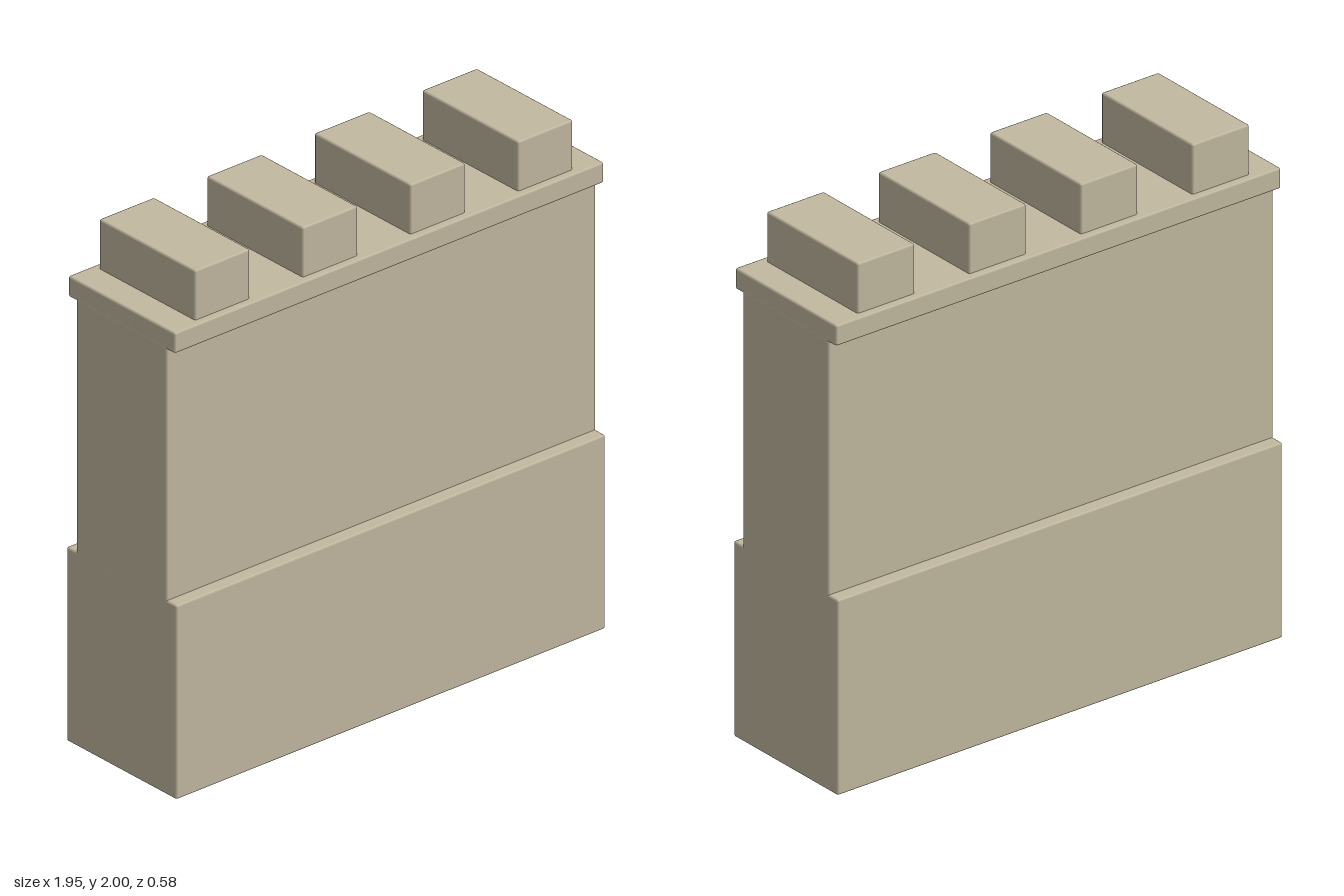
import * as THREE from 'three';
import { RoundedBoxGeometry } from 'three/addons/geometries/RoundedBoxGeometry.js';

const material = new THREE.MeshStandardMaterial({ color: 0xc2b9a0 });
const EDGE = 0.008; // slight softening of every stone edge

// Block centred on x and z, spanning y0 to y1
function block(name, width, y0, y1, depth, x = 0) {
  const geometry = new RoundedBoxGeometry(width, y1 - y0, depth, 1, EDGE);
  const mesh = new THREE.Mesh(geometry, material);
  mesh.name = name;
  mesh.position.set(x, (y0 + y1) / 2, 0);
  return mesh;
}

export function createModel() {
  const group = new THREE.Group();
  group.name = 'battlementWall';
  const width = 1.946;

  // Thick plinth, thinner wall, and overhanging coping slab
  group.add(block('base', width, 0, 0.753, 0.58));
  group.add(block('wall', width, 0.74, 1.74, 0.477));
  group.add(block('coping', width, 1.728, 1.808, 0.563));

  // Four evenly spaced merlons
  for (let i = 0; i < 4; i++) {
    group.add(block('merlon' + (i + 1), 0.25, 1.795, 2, 0.507, (i - 1.5) * 0.488));
  }
  return group;
}
